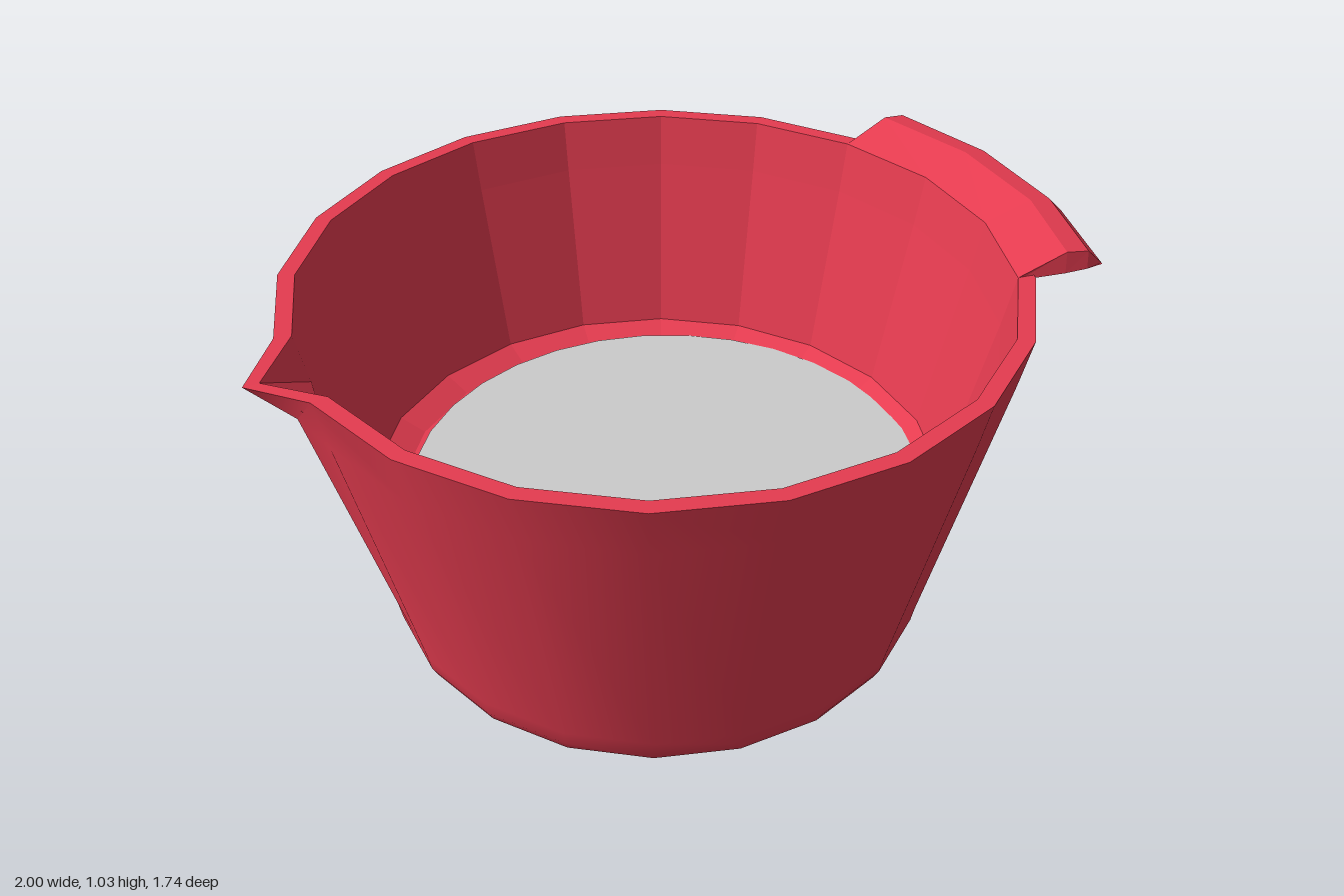
import * as THREE from 'three';
import { toCreasedNormals } from 'three/addons/utils/BufferGeometryUtils.js';

const RED = 0xe63c50;
const CENTRE_X = -0.045;
const SIDES = 20;
const RIM_Y = 0.987;
const rad = THREE.MathUtils.degToRad;

// Point on a ring at an angle in degrees (0 = +x, 90 = +z)
const polar = (deg, r, y) => [r * Math.cos(rad(deg)), y, r * Math.sin(rad(deg))];

// Skin a list of columns, each a list of points; flipCol reverses that strip's diagonals
function skin(columns, flipCol = -1) {
  const n = columns[0].length;
  const index = [];
  for (let j = 0; j < columns.length - 1; j++) {
    for (let i = 0; i < n - 1; i++) {
      const a = j * n + i, b = a + 1, c = b + n, d = a + n;
      if (j === flipCol) index.push(a, b, d, b, c, d);
      else index.push(a, b, c, a, c, d);
    }
  }
  const geo = new THREE.BufferGeometry();
  geo.setAttribute('position', new THREE.Float32BufferAttribute(columns.flat(2), 3));
  geo.setIndex(index);
  return geo;
}

// Twenty-sided turned shell with one extra column pulled out into the pouring spout
function shell(profile, spout) {
  const columns = [];
  let flip = -1;
  for (let k = 0; k <= SIDES; k++) {
    const deg = k * 360 / SIDES;
    columns.push(profile.map(([r, y]) => polar(deg, r, y)));
    if (deg === 162) {
      flip = columns.length - 1;
      columns.push(profile.map(([r, y], i) => {
        const s = spout[i];
        return s ? polar(171, s[0], s[1]) : polar(171, r * Math.cos(rad(9)), y);
      }));
    }
  }
  return skin(columns, flip);
}

export function createModel() {
  const group = new THREE.Group();
  const add = (name, geo, options) => {
    const mesh = new THREE.Mesh(geo, new THREE.MeshStandardMaterial(options));
    mesh.name = name;
    mesh.position.x = CENTRE_X;
    group.add(mesh);
    return mesh;
  };

  // Outside of the bowl: recessed base, foot ring, rounded corner, wall
  const outer = [
    [0, 0.075], [0.52, 0.075], [0.525, 0.005], [0.535, 0], [0.555, 0], [0.563, 0.01],
    [0.563, 0.075], [0.62, 0.075], [0.648, 0.09], [0.664, 0.12], [0.672, 0.16],
    [0.842, 0.86], [0.87, RIM_Y],
  ];
  const outerSpout = { 11: [0.862, 0.86], 12: [0.967, 0.975] };
  add('outerBowl', toCreasedNormals(shell(outer, outerSpout), 0.6), { color: RED });

  // Flat rim
  const rim = [[0.87, RIM_Y], [0.83, RIM_Y]];
  add('rim', shell(rim, { 0: [0.967, 0.975], 1: [0.93, 0.975] }), { color: RED, flatShading: true });

  // Faceted inside wall with a sloped lower edge
  const inner = [[0.83, RIM_Y], [0.803, 0.86], [0.7, 0.43], [0.635, 0.4], [0, 0.4]];
  add('innerBowl', shell(inner, { 0: [0.93, 0.975], 1: [0.81, 0.86] }), { color: RED, flatShading: true });

  // Grey disc resting on the inside floor
  const disc = new THREE.CircleGeometry(0.635, 32).rotateX(-Math.PI / 2);
  add('floorDisc', disc, { color: 0xcccccc }).position.set(-0.02, 0.413, 0);

  // Curved grip along the rim: [inner, crest, shoulder, outer edge] at each angle
  const gripColumn = (degs, lip) => [[0.83, RIM_Y], [0.945, 1.03], [1.0, 1.022], [1.04, 0.98]]
    .map(([r, y], i) => polar(degs[i], r, lip ? 0.98 : y));
  const grip = [
    gripColumn([-36, -34.2, -33, -31.8], true),
    gripColumn([-36, -33.5, -32.4, -31.4]),
    gripColumn([-18, -17, -16.5, -16]),
    gripColumn([0, 0, -0.3, -0.5]),
    gripColumn([18, 15.4, 14.4, 13.5]),
    gripColumn([18, 16, 14.9, 13.8], true),
  ];
  // The columns run outward, so reverse them to face the strip upward
  add('handle', skin(grip.reverse()), { color: RED, flatShading: true, side: THREE.DoubleSide });

  return group;
}
